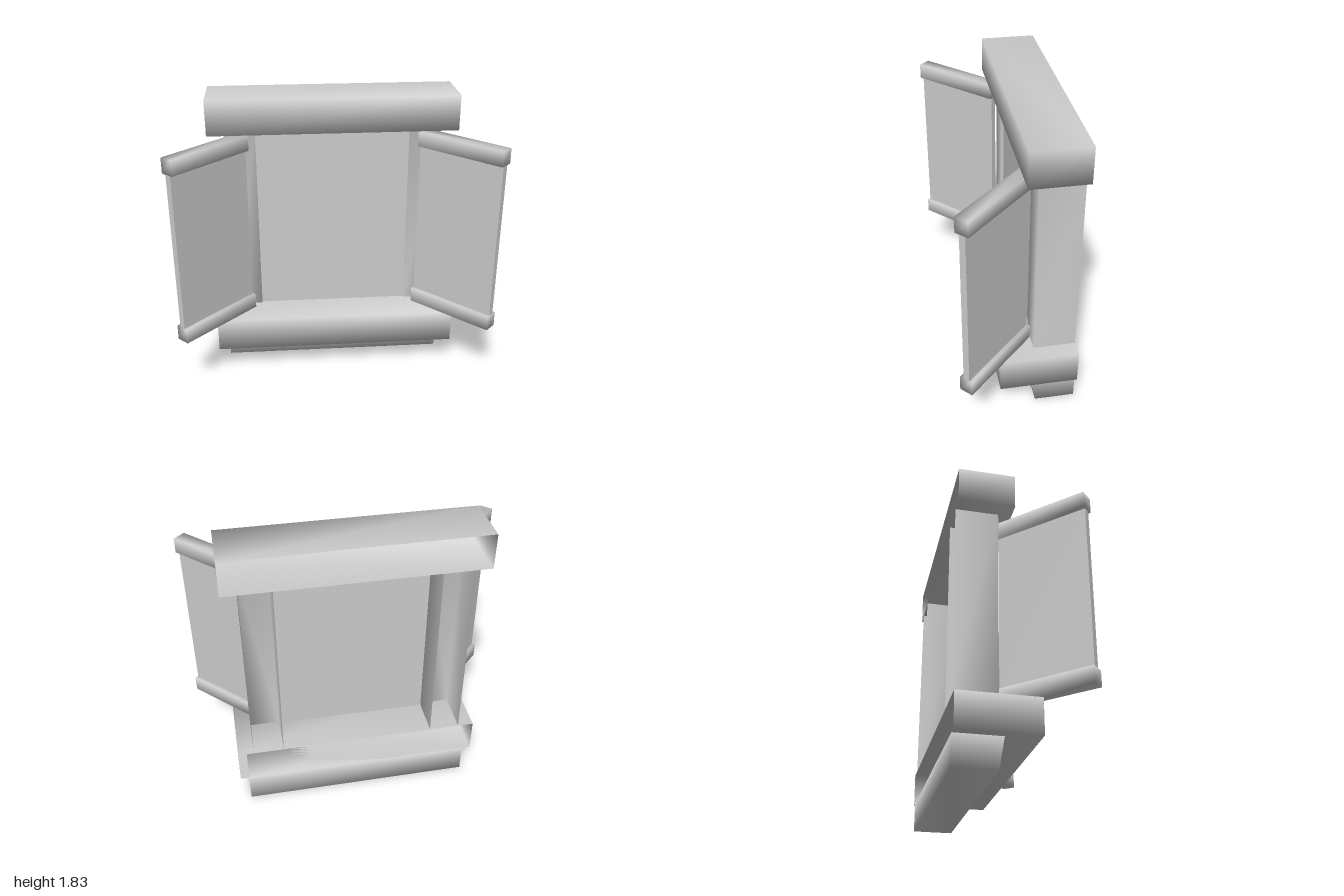
import * as THREE from 'three';
import { mergeVertices } from 'three/addons/utils/BufferGeometryUtils.js';

const material = new THREE.MeshStandardMaterial({ color: 0xcccccc, side: THREE.DoubleSide });

// Box side order: +x, -x, +y, -y, +z, -z
const ALL = [0, 1, 2, 3, 4, 5];
const OPEN_BACK = [0, 1, 2, 3, 4];
const POST_SIDES = [0, 1, 4];

// Box between two corners, keeping only the listed sides, with soft shared normals
function softBox(min, max, sides = ALL) {
  const size = max.map((v, i) => v - min[i]);
  const box = new THREE.BoxGeometry(...size);
  box.translate(...min.map((v, i) => (v + max[i]) / 2));
  const index = Array.from(box.index.array);
  box.setIndex(sides.flatMap((s) => index.slice(s * 6, s * 6 + 6)));
  box.clearGroups();
  box.deleteAttribute('normal');
  box.deleteAttribute('uv');
  const merged = mergeVertices(box);
  merged.computeVertexNormals();
  return merged;
}

function add(parent, name, geometry) {
  const mesh = new THREE.Mesh(geometry, material);
  mesh.name = name;
  parent.add(mesh);
  return mesh;
}

export function createModel() {
  const model = new THREE.Group();
  model.name = 'shutteredWindow';

  // Lintel and sill, open where they meet the wall
  add(model, 'lintel', softBox([-0.77, 1.605, -0.37], [0.77, 1.825, -0.03], OPEN_BACK));
  add(model, 'sill', softBox([-0.77, 0.185, -0.37], [0.77, 0.4, 0.11], OPEN_BACK));

  // Apron below the sill, its front leaning back towards the bottom
  const apron = softBox([-0.715, 0, -0.37], [0.715, 0.185, -0.09]);
  const p = apron.attributes.position;
  for (let i = 0; i < p.count; i++) {
    if (p.getY(i) < 0.01 && p.getZ(i) > -0.2) p.setZ(i, -0.12);
  }
  apron.computeVertexNormals();
  add(model, 'apron', apron);

  // Pane just behind the front of the posts
  const pane = add(model, 'pane', new THREE.PlaneGeometry(0.96, 1.205));
  pane.position.set(0, 1.0025, -0.125);

  for (const side of [1, -1]) {
    const label = side > 0 ? 'left' : 'right';

    // Side post of the frame
    const xs = [side * 0.48, side * 0.67].sort((a, b) => a - b);
    add(model, label + 'Post', softBox([xs[0], 0.4, -0.37], [xs[1], 1.605, -0.11], POST_SIDES));

    // Shutter swung open by 45 degrees: thin panel between two rails
    const shutter = new THREE.Group();
    shutter.name = label + 'Shutter';
    shutter.position.set(side * 0.76, 0, 0.135);
    shutter.rotation.y = -side * Math.PI / 4;
    add(shutter, 'panel', new THREE.BoxGeometry(0.58, 1.0, 0.04)).position.y = 1.0;
    add(shutter, 'lowerRail', softBox([-0.295, 0.41, -0.043], [0.295, 0.505, 0.043]));
    add(shutter, 'upperRail', softBox([-0.295, 1.505, -0.043], [0.295, 1.6, 0.043]));
    model.add(shutter);
  }

  return model;
}
